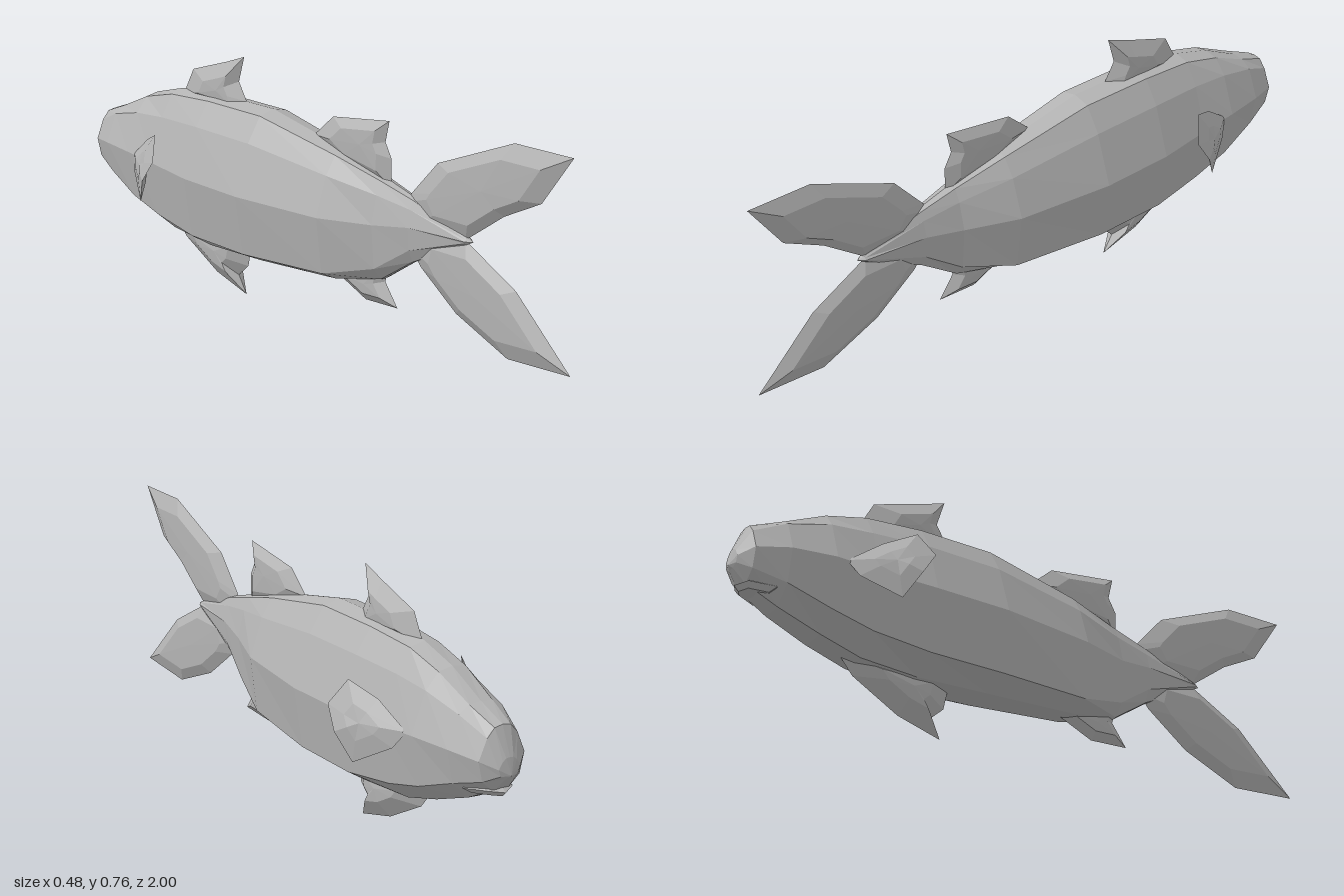
import * as THREE from 'three';

const grey = new THREE.MeshStandardMaterial({ color: 0xb4b4b4, flatShading: true });
grey.name = 'plain grey';

function meshFrom(name, triangles) {
  const geometry = new THREE.BufferGeometry().setFromPoints(triangles);
  geometry.computeVertexNormals();
  const mesh = new THREE.Mesh(geometry, grey);
  mesh.name = name;
  return mesh;
}

const V = (x, y, z) => new THREE.Vector3(x, y, z);

// Lens-shaped fin: a sharp outline rising to an inset plateau on both sides
function fin(name, outline, centre, thickness, inset) {
  const normal = V(0, 0, 0);
  outline.forEach((p, i) => {
    const q = outline[(i + 1) % outline.length];
    normal.add(p.clone().sub(centre).cross(q.clone().sub(centre)));
  });
  normal.normalize();
  const tris = [];
  for (const side of [1, -1]) {
    const offset = normal.clone().multiplyScalar(side * thickness);
    const ridge = outline.map(p => centre.clone().lerp(p, inset).add(offset));
    const peak = centre.clone().add(offset.clone().multiplyScalar(1.1));
    const add = (a, b, c) => (side > 0 ? tris.push(a, b, c) : tris.push(a, c, b));
    outline.forEach((p, i) => {
      const k = (i + 1) % outline.length;
      add(p, outline[k], ridge[k]);
      add(p, ridge[k], ridge[i]);
      add(ridge[i], ridge[k], peak);
    });
  }
  return meshFrom(name, tris);
}

// Fin lying in the middle plane, given as [z, y] points
function middleFin(name, points, [cz, cy], thickness, inset) {
  return fin(name, points.map(([z, y]) => V(0, y, z)), V(0, cy, cz), thickness, inset);
}

// Body sections: z, top, shoulder, middle, lower ridge, belly, half width
const SECTIONS = [
  [-0.99, 0.41, 0.40, 0.38, 0.36, 0.35, 0.035],
  [-0.955, 0.49, 0.46, 0.40, 0.34, 0.305, 0.075],
  [-0.86, 0.525, 0.50, 0.41, 0.31, 0.255, 0.108],
  [-0.73, 0.585, 0.53, 0.41, 0.26, 0.205, 0.13],
  [-0.60, 0.62, 0.54, 0.40, 0.225, 0.165, 0.137],
  [-0.42, 0.632, 0.545, 0.39, 0.20, 0.15, 0.155],
  [-0.18, 0.63, 0.54, 0.385, 0.197, 0.158, 0.157],
  [0.13, 0.565, 0.50, 0.38, 0.205, 0.175, 0.117],
  [0.30, 0.515, 0.47, 0.385, 0.25, 0.21, 0.06],
  [0.42, 0.48, 0.45, 0.40, 0.33, 0.29, 0.037],
  [0.62, 0.41, 0.405, 0.40, 0.395, 0.39, 0.015],
];

function body() {
  const rings = SECTIONS.map(([z, top, shoulder, mid, low, belly, w]) => {
    const half = [
      [0.35, top * 0.85 + shoulder * 0.15], [0.66, shoulder], [1, mid],
      [0.82, low], [0.33, belly + (low - belly) * 0.05],
    ];
    return [
      V(0, top, z), ...half.map(([f, y]) => V(f * w, y, z)),
      V(0, belly, z), ...half.reverse().map(([f, y]) => V(-f * w, y, z)),
    ];
  });
  const tris = [];
  const n = rings[0].length;
  const nose = V(0, 0.36, -1), end = V(0, 0.40, 0.64);
  for (let j = 0; j < n; j++) {
    const k = (j + 1) % n;
    for (let i = 0; i < rings.length - 1; i++) {
      const a = rings[i], b = rings[i + 1];
      tris.push(a[j], b[j], a[k], a[k], b[j], b[k]);
    }
    tris.push(nose, rings[0][j], rings[0][k]);
    tris.push(end, rings.at(-1)[k], rings.at(-1)[j]);
  }
  return meshFrom('body', tris);
}

export function createModel() {
  const fish = new THREE.Group();
  fish.name = 'fish';
  fish.add(body());

  // Lower jaw, a flat wedge under the snout
  fish.add(fin('lowerJaw', [
    V(0, 0.305, -0.978), V(0.04, 0.31, -0.955), V(0.07, 0.30, -0.88),
    V(0, 0.28, -0.86), V(-0.07, 0.30, -0.88), V(-0.04, 0.31, -0.955),
  ], V(0, 0.302, -0.92), 0.014, 0.7));

  // Fins on the back
  fish.add(middleFin('frontDorsalFin', [
    [-0.6, 0.6], [-0.55, 0.69], [-0.39, 0.74], [-0.31, 0.768],
    [-0.335, 0.687], [-0.3, 0.63], [-0.28, 0.58],
  ], [-0.41, 0.65], 0.028, 0.45));
  fish.add(middleFin('rearDorsalFin', [
    [0, 0.585], [0.08, 0.655], [0.31, 0.685], [0.295, 0.62],
    [0.32, 0.575], [0.32, 0.49], [0.1, 0.53],
  ], [0.21, 0.6], 0.02, 0.6));

  // Fins on the belly
  fish.add(middleFin('pelvicFin', [
    [-0.65, 0.19], [-0.6, 0.13], [-0.45, 0.045], [-0.31, 0.004],
    [-0.345, 0.06], [-0.3, 0.1], [-0.28, 0.19],
  ], [-0.42, 0.13], 0.036, 0.45));
  fish.add(middleFin('analFin', [
    [0.05, 0.2], [0.22, 0.125], [0.35, 0.13], [0.3, 0.2], [0.32, 0.27], [0.15, 0.24],
  ], [0.23, 0.18], 0.02, 0.55));

  // Forked tail
  fish.add(middleFin('upperTailLobe', [
    [0.38, 0.46], [0.4, 0.49], [0.5, 0.6], [0.78, 0.713], [0.985, 0.713],
    [0.88, 0.565], [0.75, 0.5], [0.61, 0.4], [0.42, 0.4],
  ], [0.68, 0.56], 0.02, 0.68));
  fish.add(middleFin('lowerTailLobe', [
    [0.4, 0.33], [0.44, 0.28], [0.58, 0.175], [0.775, 0.093], [1, 0.105],
    [0.8, 0.297], [0.61, 0.4], [0.42, 0.4],
  ], [0.67, 0.25], 0.02, 0.68));

  // Pectoral fins, swept back from the cheeks
  for (const s of [1, -1]) {
    fish.add(fin(s > 0 ? 'leftPectoralFin' : 'rightPectoralFin', [
      V(s * 0.125, 0.41, -0.7), V(s * 0.15, 0.48, -0.6), V(s * 0.19, 0.518, -0.513),
      V(s * 0.232, 0.445, -0.476), V(s * 0.24, 0.378, -0.52),
      V(s * 0.21, 0.297, -0.567), V(s * 0.15, 0.36, -0.67),
    ], V(s * 0.19, 0.41, -0.575), 0.012, 0.45));
  }
  return fish;
}
